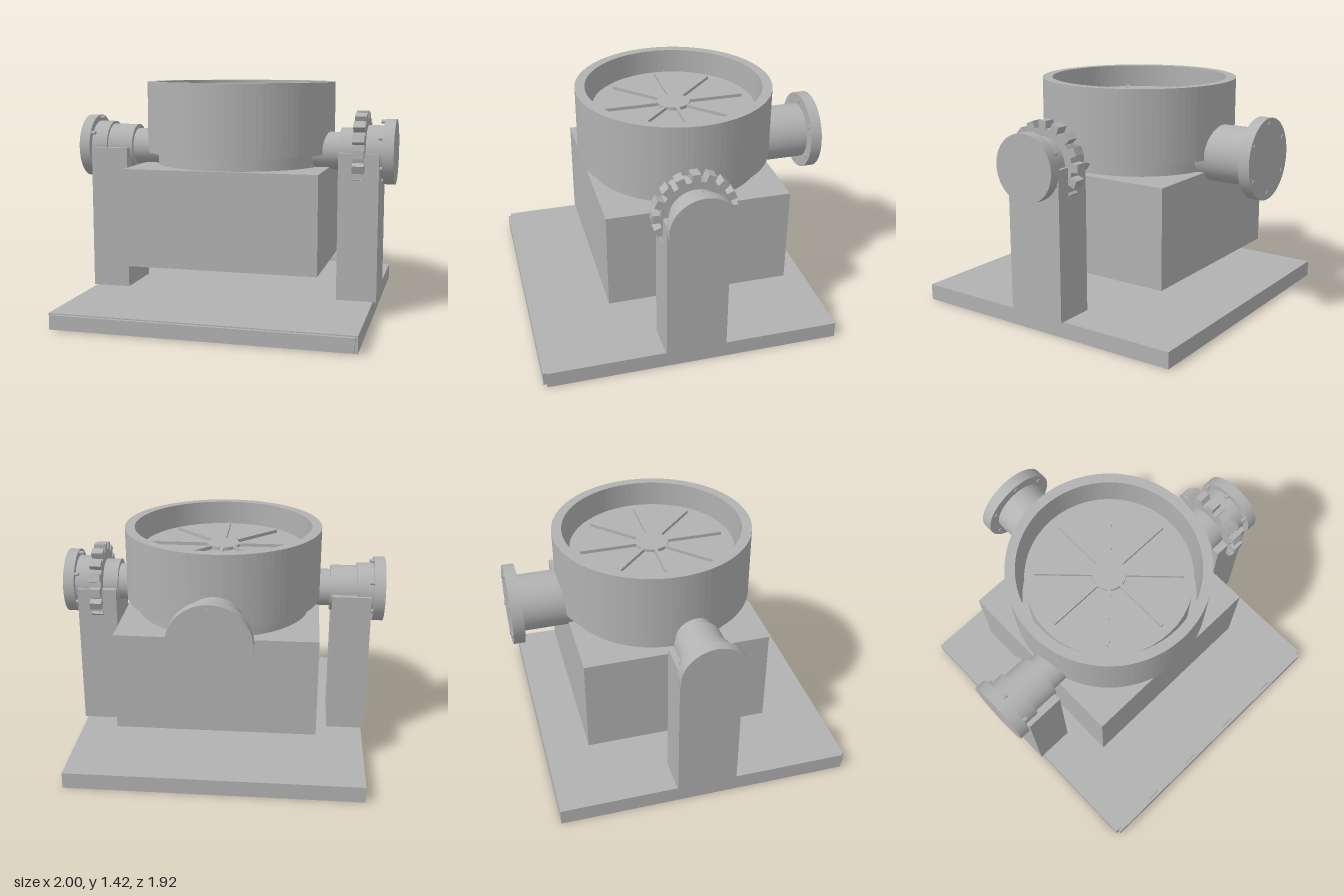
import * as THREE from 'three';

export function createModel() {
  const model = new THREE.Group();
  const metal = new THREE.MeshStandardMaterial({ color: 0xb2b2b2 });
  metal.name = 'grey metal';

  const add = (name, geometry, x, y, z, parent = model) => {
    const mesh = new THREE.Mesh(geometry, metal);
    mesh.name = name;
    mesh.position.set(x, y, z);
    parent.add(mesh);
    return mesh;
  };
  // Box given by its limits on each axis
  const box = (name, [x0, x1], [y0, y1], [z0, z1], parent) =>
    add(name, new THREE.BoxGeometry(x1 - x0, y1 - y0, z1 - z0),
      (x0 + x1) / 2, (y0 + y1) / 2, (z0 + z1) / 2, parent);
  // Cylinders along each axis, given by radius and end positions
  const cylX = (name, r, x0, x1, y, z, parent, seg = 40) =>
    add(name, new THREE.CylinderGeometry(r, r, x1 - x0, seg).rotateZ(-Math.PI / 2), (x0 + x1) / 2, y, z, parent);
  const cylY = (name, r, y0, y1, x, z, parent) =>
    add(name, new THREE.CylinderGeometry(r, r, y1 - y0, 48), x, (y0 + y1) / 2, z, parent);
  const cylZ = (name, r, z0, z1, x, y, parent, seg = 40) =>
    add(name, new THREE.CylinderGeometry(r, r, z1 - z0, seg).rotateX(Math.PI / 2), x, y, (z0 + z1) / 2, parent);

  // Base slab with a shallow front plate
  box('base', [-0.9, 0.895], [0, 0.1], [-0.855, 0.94]);
  box('frontPlate', [-0.88, 0.88], [0.01, 0.093], [0.94, 0.96]);

  // Suspended body block and its round neck
  const cz = -0.055;
  box('bodyBlock', [-0.6, 0.597], [0.3, 0.9], [-0.615, 0.505]);
  cylY('neck', 0.535, 0.9, 0.98, 0, cz);

  // Open drum wall
  const ring = new THREE.Shape().absarc(0, 0, 0.6, 0, Math.PI * 2);
  ring.holes.push(new THREE.Path().absarc(0, 0, 0.54, 0, Math.PI * 2, true));
  const wall = new THREE.ExtrudeGeometry(ring, { depth: 0.44, bevelEnabled: false, curveSegments: 48 });
  add('drumWall', wall.rotateX(-Math.PI / 2), 0, 0.98, cz);

  // Inner core carrying a hub and eight thin spokes
  cylY('innerCore', 0.5, 0.97, 1.285, 0, cz);
  cylY('hub', 0.1, 1.285, 1.305, 0, cz);
  const spokes = new THREE.Group();
  spokes.name = 'spokes';
  spokes.position.set(0, 1.295, cz);
  model.add(spokes);
  for (let i = 0; i < 8; i++) {
    const arm = new THREE.BoxGeometry(0.35, 0.02, 0.018).translate(0.265, 0, 0);
    add('spoke', arm.rotateY(i * Math.PI / 4), 0, 0, 0, spokes);
  }

  // Side posts
  box('rightPost', [-0.92, -0.68], [0.1, 1], [-0.14, 0.23]);
  box('leftPost', [0.67, 0.915], [0.1, 1], [-0.14, 0.23]);

  // Stepped pivots through the posts
  const py = 1, pz = 0.04;
  for (const side of [-1, 1]) {
    const pivot = new THREE.Group();
    pivot.name = side < 0 ? 'rightPivot' : 'leftPivot';
    model.add(pivot);
    const step = (name, r, a, b) => cylX(name, r, Math.min(side * a, side * b), Math.max(side * a, side * b), py, pz, pivot);
    step('innerShaft', 0.115, 0.48, 0.68);
    step('sleeve', 0.142, 0.665, 0.84);
    step('collar', 0.16, 0.83, 0.94);
    step('endFlange', 0.2, 0.932, 1);
    for (let i = 0; i < 6; i++) {
      const a = Math.PI / 6 + i * Math.PI / 3;
      const x = side * 0.925;
      cylX('flangeBolt', 0.012, x - 0.02, x + 0.02, py + 0.182 * Math.sin(a), pz + 0.182 * Math.cos(a), pivot, 12);
    }
  }

  // Gear wheel on the left pivot
  const gear = new THREE.Group();
  gear.name = 'gear';
  gear.position.set(0.793, py, pz);
  model.add(gear);
  cylX('gearDisc', 0.205, -0.035, 0.035, 0, 0, gear);
  for (let i = 0; i < 16; i++) {
    const tooth = new THREE.BoxGeometry(0.072, 0.055, 0.05).translate(0, 0.22, 0);
    add('gearTooth', tooth.rotateX(i * Math.PI / 8), 0, 0, 0, gear);
  }

  // Rear pipe with bolted flange
  const port = new THREE.Group();
  port.name = 'rearPort';
  model.add(port);
  cylZ('rearPipe', 0.172, -0.9, -0.55, 0, py, port);
  cylZ('rearFlange', 0.242, -0.96, -0.89, 0, py, port);
  for (let i = 0; i < 6; i++) {
    const a = Math.PI / 6 + i * Math.PI / 3;
    cylZ('rearBolt', 0.016, -0.965, -0.885, 0.205 * Math.cos(a), py + 0.205 * Math.sin(a), port, 12);
  }
  return model;
}
